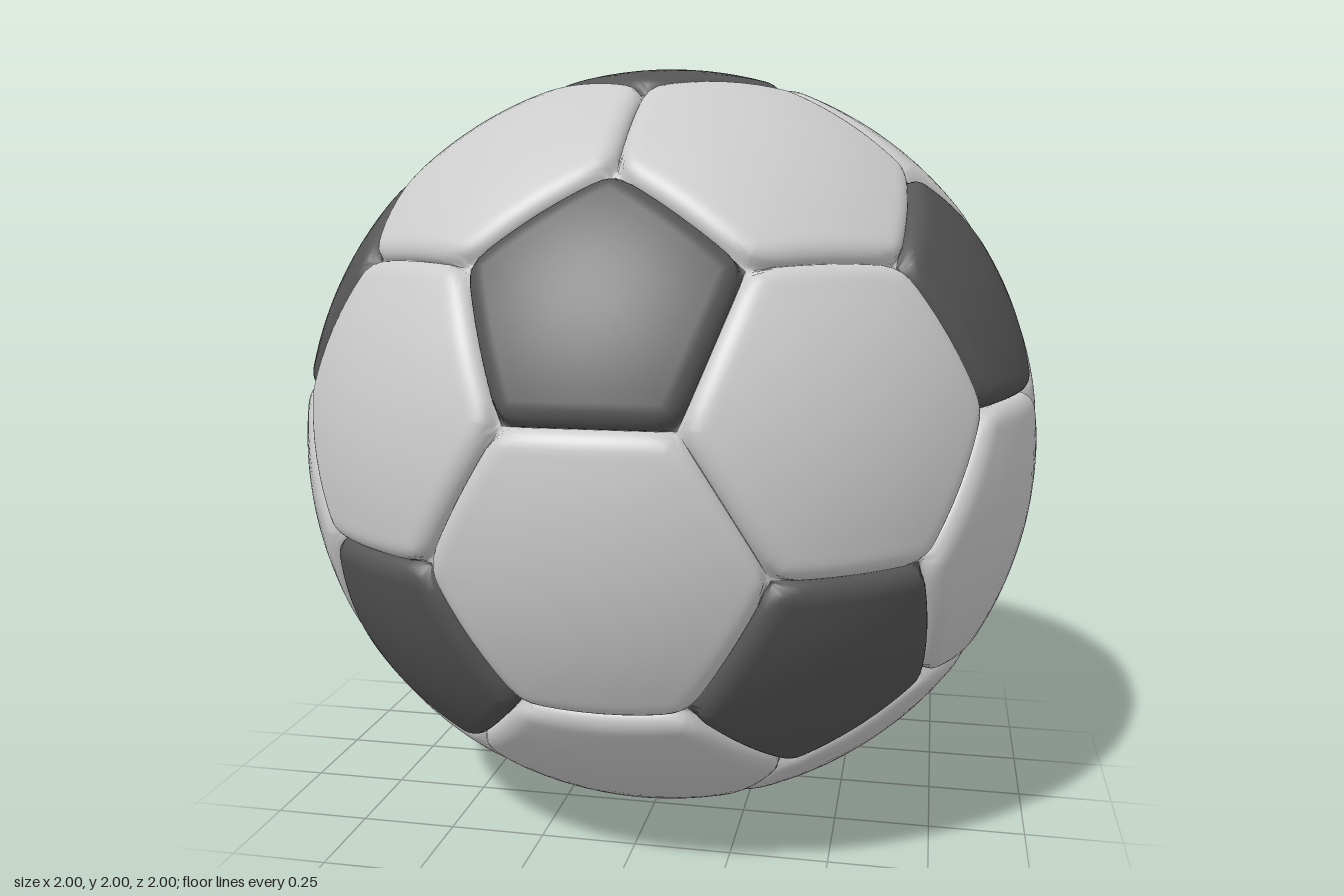
import * as THREE from 'three';

const SEAM_DEPTH = 0.035, SEAM_WIDTH = 0.05, SIDE_STEPS = 12;
// Rings from panel centre to seam, denser in the rolled edge
const RINGS = [];
for (let i = 1; i <= 7; i++) RINGS.push(0.8 * i / 7);
for (let i = 1; i <= 10; i++) RINGS.push(0.8 + 0.2 * Math.sin((i / 10) * Math.PI / 2));

// Twelve icosahedron corners, which are the pentagon centres
function pentagonCentres() {
  const h = 1 / Math.sqrt(5), r = 2 * h;
  const list = [new THREE.Vector3(0, 1, 0), new THREE.Vector3(0, -1, 0)];
  for (let k = 0; k < 5; k++) {
    const a = k * Math.PI * 2 / 5;
    const p = new THREE.Vector3(r * Math.sin(a), h, r * Math.cos(a));
    list.push(p, p.clone().negate());
  }
  return list;
}

// Corners in anticlockwise order as seen from outside
function sortAround(centre, corners) {
  const u = corners[0].clone().addScaledVector(centre, -corners[0].dot(centre)).normalize();
  const v = centre.clone().cross(u);
  const angle = p => Math.atan2(p.dot(v), p.dot(u));
  return [...corners].sort((a, b) => angle(a) - angle(b));
}

// A padded spherical panel whose rim rolls down into the seam
function panelGeometry(centre, corners) {
  const pts = sortAround(centre, corners), n = pts.length;
  const planes = pts.map((p, i) => p.clone().cross(pts[(i + 1) % n]).normalize());
  const middle = pts.reduce((s, p) => s.add(p), new THREE.Vector3()).divideScalar(n);

  const rim = [];
  pts.forEach((p, i) => {
    for (let j = 0; j < SIDE_STEPS; j++) {
      rim.push(p.clone().lerp(pts[(i + 1) % n], (1 - Math.cos(Math.PI * j / SIDE_STEPS)) / 2));
    }
  });

  const positions = [], index = [], m = rim.length;
  const addPoint = p => {
    p.normalize();
    let q = 0;
    for (const plane of planes) q += Math.max(0, 1 - p.dot(plane) / SEAM_WIDTH) ** 2;
    p.multiplyScalar(1 - SEAM_DEPTH * (1 - Math.sqrt(Math.max(0, 1 - q))));
    positions.push(p.x, p.y, p.z);
  };
  addPoint(middle.clone());
  RINGS.forEach((s, r) => {
    for (let j = 0; j < m; j++) {
      addPoint(middle.clone().lerp(rim[j], s));
      const k = (j + 1) % m, a = 1 + r * m + j, b = 1 + r * m + k;
      if (r === 0) index.push(0, a, b);
      else index.push(a - m, a, b, a - m, b, b - m);
    }
  });

  const geometry = new THREE.BufferGeometry();
  geometry.setAttribute('position', new THREE.Float32BufferAttribute(positions, 3));
  geometry.setIndex(index);
  geometry.computeVertexNormals();
  return geometry;
}

export function createModel() {
  const ball = new THREE.Group();
  ball.name = 'ball';
  const dark = new THREE.MeshStandardMaterial({ color: 0x555555 });
  const light = new THREE.MeshStandardMaterial({ color: 0xcccccc });
  const centres = pentagonCentres();
  const near = (a, b) => a !== b && a.dot(b) > 0.4;
  const third = (a, b) => a.clone().lerp(b, 1 / 3);

  const addPanel = (name, material, centre, corners) => {
    const mesh = new THREE.Mesh(panelGeometry(centre, corners), material);
    mesh.name = name;
    ball.add(mesh);
  };

  // Dark pentagons
  for (const c of centres) {
    addPanel('pentagonPanel', dark, c, centres.filter(o => near(c, o)).map(o => third(c, o)));
  }

  // Light hexagons, one between every three neighbouring pentagons
  centres.forEach((a, i) => centres.forEach((b, j) => centres.forEach((c, k) => {
    if (!(i < j && j < k && near(a, b) && near(b, c) && near(a, c))) return;
    const centre = a.clone().add(b).add(c).normalize();
    const corners = [third(a, b), third(b, a), third(b, c), third(c, b), third(c, a), third(a, c)];
    addPanel('hexagonPanel', light, centre, corners);
  })));

  ball.position.y = 1;
  const model = new THREE.Group();
  model.name = 'panelledBall';
  model.add(ball);
  return model;
}
